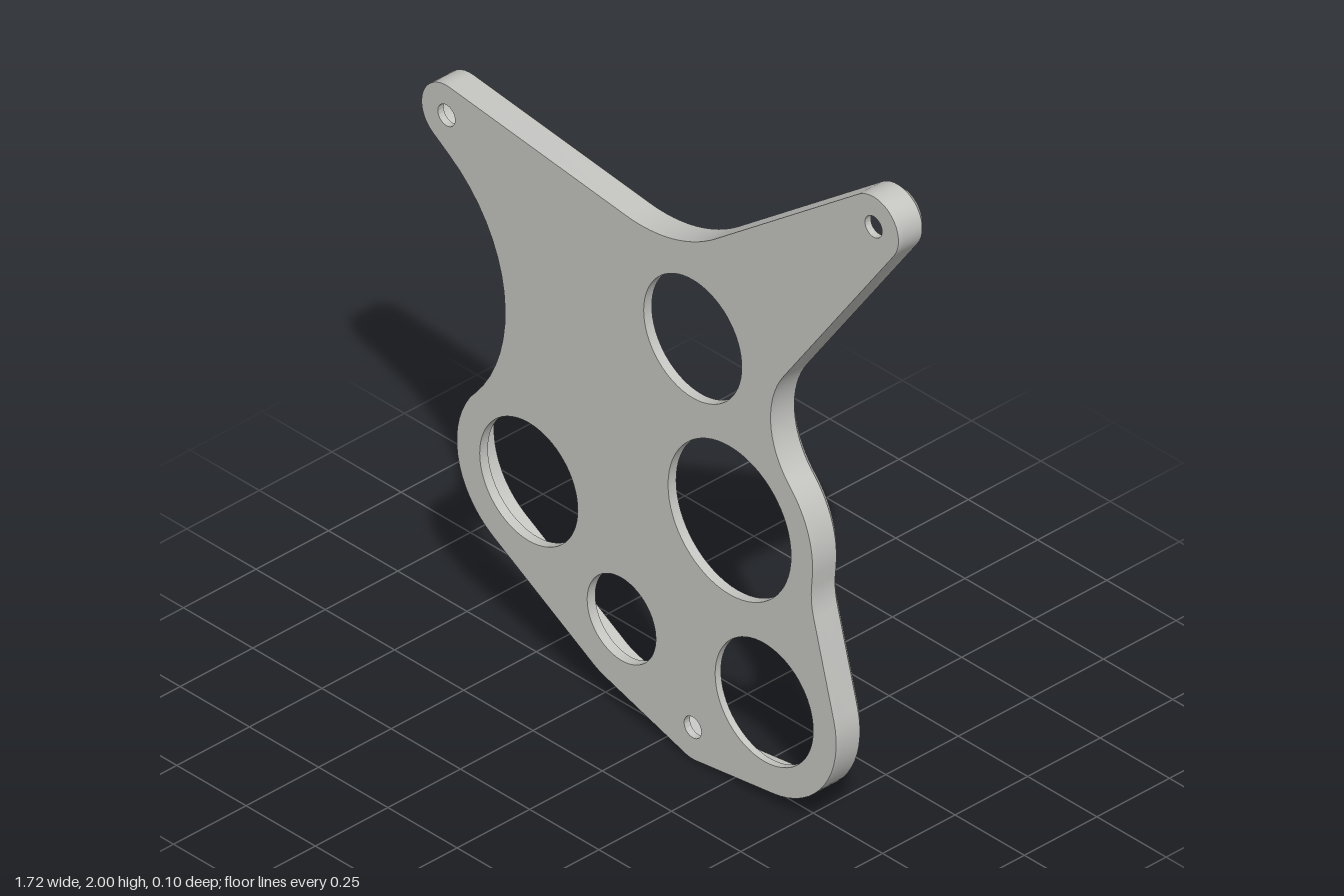
import * as THREE from 'three';
import { toCreasedNormals } from 'three/addons/utils/BufferGeometryUtils.js';

// Guide circles of the outline, counterclockwise: x, y, radius (negative = hollow curve)
const GUIDES = [
  [0.117, 0.095, 0.095], [0.375, 0.295, 0.26], [0.795, 0.70, -0.25],
  [0.25, 0.78, 0.30], [0.648, 1.16, -0.25], [0.77, 1.912, 0.09],
  [-0.07, 1.96, -0.45], [-0.772, 1.5, 0.09], [-1.01, 1.01, -0.45],
  [-0.475, 0.545, 0.26], [-0.14, 0.295, 0.21],
];

// Holes: x, y, radius, has a lip at the back
const HOLES = [
  [0.117, 1.26, 0.177, true], [0.25, 0.78, 0.222, true],
  [-0.475, 0.545, 0.177, true], [-0.14, 0.295, 0.124, true],
  [0.375, 0.295, 0.177, false], [0.117, 0.095, 0.031, false],
  [0.77, 1.912, 0.031, false], [-0.772, 1.5, 0.031, false],
];

const FRONT = 0.05, FLOOR = 0.03, LIP = 0.022, BACK = -0.05;
const CHAMFER = 0.018, WALL = 0.03, ARC_STEPS = 16;

// Belt of arcs and tangent lines round the guides, moved inward by inset
function outline(inset) {
  const n = GUIDES.length;
  const leave = GUIDES.map(([x, y, r], i) => {
    const [x2, y2, r2] = GUIDES[(i + 1) % n];
    const dx = x2 - x, dy = y2 - y;
    const c = THREE.MathUtils.clamp((r - r2) / Math.hypot(dx, dy), -1, 1);
    return Math.atan2(dy, dx) - Math.acos(c);
  });
  const points = [];
  GUIDES.forEach(([x, y, r], i) => {
    const start = leave[(i + n - 1) % n];
    const turn = leave[i] - start;
    const sweep = Math.atan2(Math.sin(turn), Math.cos(turn));
    for (let k = 0; k <= ARC_STEPS; k++) {
      const a = start + sweep * k / ARC_STEPS;
      points.push(new THREE.Vector2(x + (r - inset) * Math.cos(a), y + (r - inset) * Math.sin(a)));
    }
  });
  return points;
}

function circlePath(x, y, r, Type = THREE.Path) {
  return new Type().absarc(x, y, r, 0, Math.PI * 2, false);
}

// Flat slab between two z levels
function slab(shape, z0, z1) {
  const g = new THREE.ExtrudeGeometry(shape, { depth: z1 - z0, bevelEnabled: false, curveSegments: 32 });
  g.translate(0, 0, z0);
  return toCreasedNormals(g, 0.5);
}

// Closed strips joining successive outline loops, each given as [inset, z]
function loft(rings) {
  const loops = rings.map(([inset]) => outline(inset));
  const count = loops[0].length;
  const position = [], index = [];
  loops.forEach((loop, j) => loop.forEach(p => position.push(p.x, p.y, rings[j][1])));
  for (let j = 0; j < loops.length - 1; j++) {
    for (let i = 0; i < count; i++) {
      const next = (i + 1) % count;
      const a = j * count + i, b = j * count + next;
      const c = a + count, d = b + count;
      index.push(a, c, b, b, c, d);
    }
  }
  const g = new THREE.BufferGeometry();
  g.setAttribute('position', new THREE.Float32BufferAttribute(position, 3));
  g.setIndex(index);
  return toCreasedNormals(g, 0.5);
}

export function createModel() {
  const model = new THREE.Group();
  model.name = 'bracketPlate';
  const metal = new THREE.MeshStandardMaterial({ color: 0xc4c4c1 });
  metal.name = 'light grey metal';

  const add = (name, geometry) => {
    const mesh = new THREE.Mesh(geometry, metal);
    mesh.name = name;
    model.add(mesh);
  };

  // Thin front plate with all its holes
  const face = new THREE.Shape(outline(0));
  HOLES.forEach(([x, y, r]) => face.holes.push(circlePath(x, y, r)));
  add('frontPlate', slab(face, FLOOR, FRONT));

  // Raised rim round the back with a chamfered outer edge
  add('backRim', loft([
    [0, FLOOR], [0, BACK + CHAMFER], [CHAMFER, BACK], [WALL, BACK], [WALL, FLOOR],
  ]));

  // Low lips behind the larger holes
  HOLES.filter(h => h[3]).forEach(([x, y, r], i) => {
    const ring = circlePath(x, y, r + 0.015, THREE.Shape);
    ring.holes.push(circlePath(x, y, r));
    add('holeLip' + (i + 1), slab(ring, LIP, FLOOR));
  });

  return model;
}
